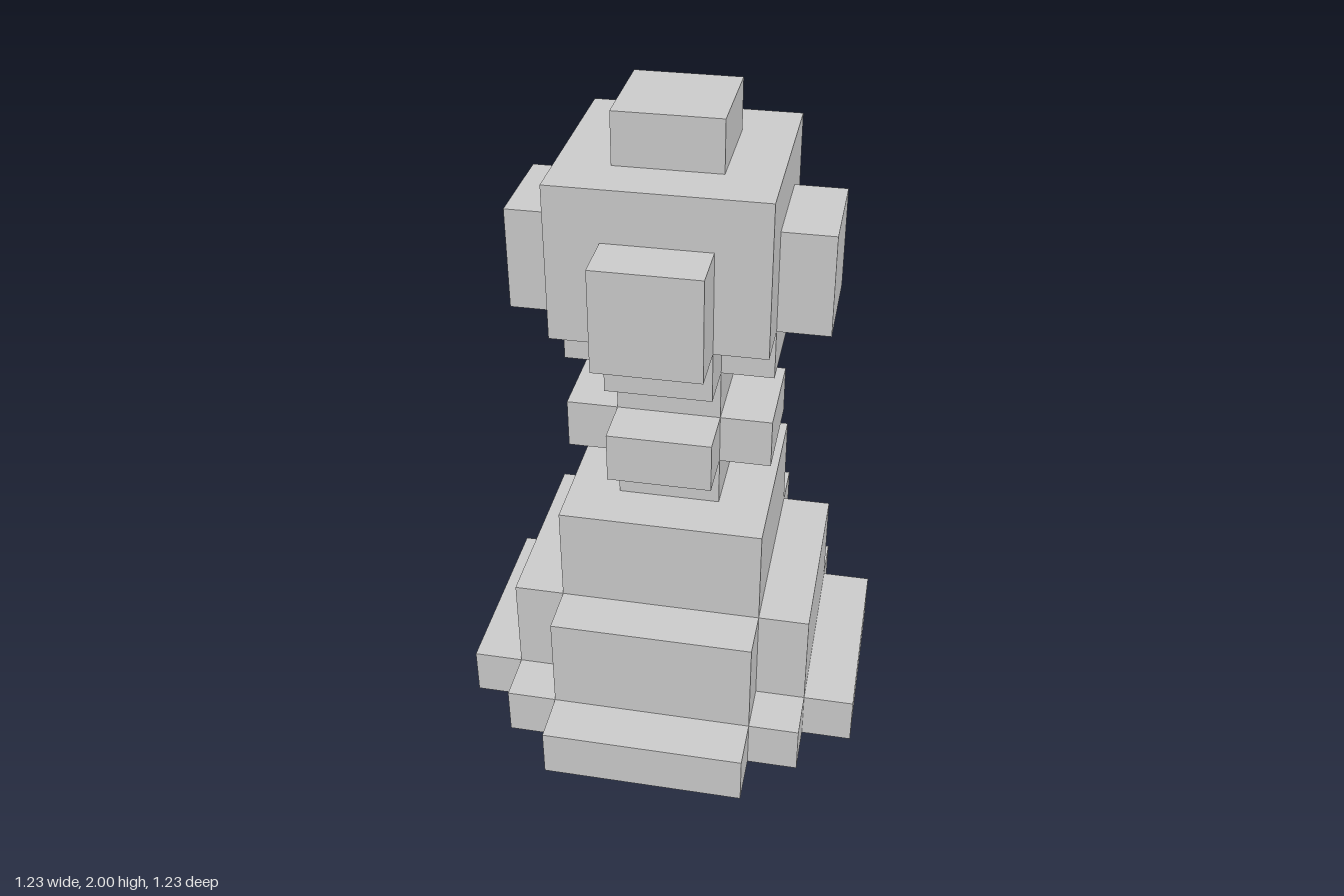
import * as THREE from 'three';

const U = 2 / 13; // one block; the piece is 13 blocks tall
const material = new THREE.MeshStandardMaterial({ color: 0xcccccc, flatShading: true });

// Footprint: the corner points of one quadrant, turned four times around the axis
function footprint(corner) {
  const points = [];
  for (let turn = 0; turn < 4; turn++) {
    for (const [x, y] of corner) {
      let p = [x, y];
      for (let i = 0; i < turn; i++) p = [-p[1], p[0]];
      points.push(new THREE.Vector2(p[0] * U, p[1] * U));
    }
  }
  return new THREE.Shape(points);
}

const square = (a) => [[a, a]];
const cross = (a, b) => [[a, b], [b, b], [b, a]];

// Upright slab from block level y0 to y1
function tier(name, corner, y0, y1) {
  const geometry = new THREE.ExtrudeGeometry(footprint(corner), {
    depth: (y1 - y0) * U, bevelEnabled: false,
  });
  geometry.rotateX(-Math.PI / 2);
  const mesh = new THREE.Mesh(geometry, material);
  mesh.name = name;
  mesh.position.y = y0 * U;
  return mesh;
}

export function createModel() {
  const model = new THREE.Group();
  model.name = 'pawn';

  // Stepped foot and body
  model.add(tier('base', [[4, 2], [3, 2], [3, 3], [2, 3], [2, 4]], 0, 1));
  model.add(tier('lowerBody', cross(3, 2), 1, 3));
  model.add(tier('upperBody', square(2), 3, 5));

  // Thin neck with two cross-shaped rings
  model.add(tier('lowerNeck', square(1), 5, 6));
  model.add(tier('collar', cross(2, 1), 6, 7));
  model.add(tier('upperNeck', square(1), 7, 8));
  model.add(tier('headUnderside', cross(2, 1), 8, 9));

  // Head with a raised panel on each side and a cap on top
  model.add(tier('head', square(2), 9, 12));
  for (let i = 0; i < 4; i++) {
    const angle = (i * Math.PI) / 2;
    const panel = new THREE.Mesh(new THREE.BoxGeometry(2 * U, 2 * U, U), material);
    panel.name = 'headPanel';
    panel.position.set(Math.sin(angle) * 2.5 * U, 10 * U, Math.cos(angle) * 2.5 * U);
    panel.rotation.y = angle;
    model.add(panel);
  }
  model.add(tier('cap', square(1), 12, 13));

  return model;
}
